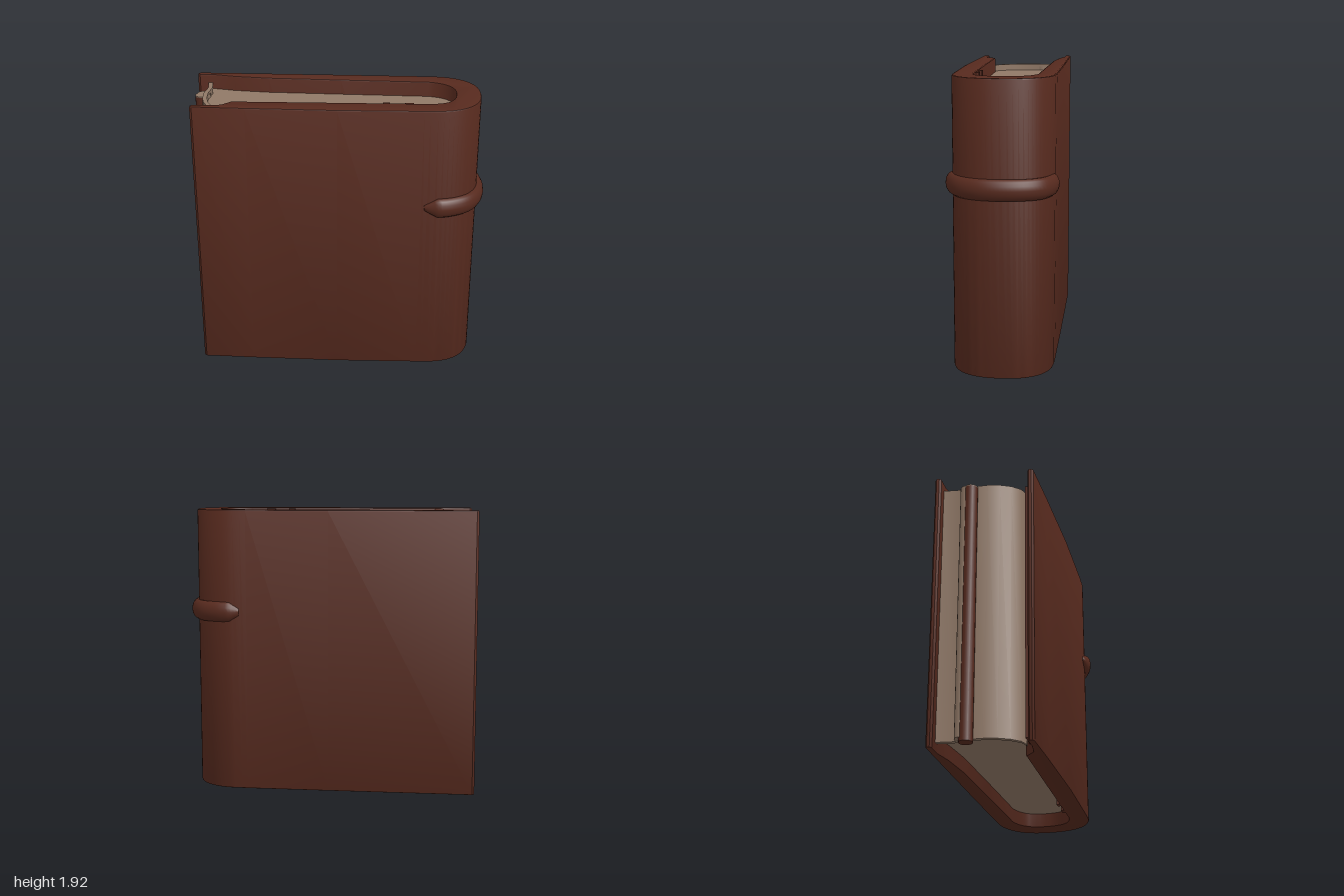
import * as THREE from 'three';
import { toCreasedNormals } from 'three/addons/utils/BufferGeometryUtils.js';

const leather = new THREE.MeshStandardMaterial({ color: 0x572a1e });
leather.name = 'brown leather';
const paper = new THREE.MeshStandardMaterial({ color: 0x907866 });
paper.name = 'aged paper';

// Points [x, z] on the inside of the spine curve, shared by cover and pages
function innerSpine() {
  const v = (x, z) => new THREE.Vector2(x, z);
  const a = new THREE.CubicBezierCurve(v(0.6, -0.22), v(0.71, -0.2), v(0.78, -0.14), v(0.78, -0.02));
  const b = new THREE.CubicBezierCurve(v(0.78, -0.02), v(0.78, 0.12), v(0.73, 0.18), v(0.6, 0.19));
  return [...a.getPoints(10), ...b.getPoints(10).slice(1)].map(p => [p.x, p.y]);
}

// Points [x, z] on the squarish outside of the spine, from back to front
function outerSpine(steps) {
  const soft = t => Math.sign(t) * Math.abs(t) ** 0.83;
  return Array.from({ length: steps + 1 }, (_, i) => {
    const a = -Math.PI / 2 + Math.PI * i / steps;
    return [0.6 + 0.345 * soft(Math.cos(a)), -0.007 + 0.333 * soft(Math.sin(a))];
  });
}

// Stands a plan outline of [x, z] points up between two heights
function upright(name, points, y0, y1, material, bevel = 0) {
  const shape = new THREE.Shape(points.map(([x, z]) => new THREE.Vector2(x, -z)));
  const geo = new THREE.ExtrudeGeometry(shape, {
    depth: y1 - y0 - 2 * bevel, bevelEnabled: bevel > 0, bevelSize: bevel,
    bevelThickness: bevel, bevelOffset: -bevel, bevelSegments: 2,
  });
  geo.rotateX(-Math.PI / 2).translate(0, y0 + bevel, 0);
  const mesh = new THREE.Mesh(toCreasedNormals(geo, 0.6), material);
  mesh.name = name;
  return mesh;
}

// Raised band round the spine: oval sections that shrink towards both ends
function spineBand() {
  const path = new THREE.CatmullRomCurve3([
    [0.58, 0.325], [0.65, 0.321], [0.73, 0.307], [0.85, 0.242], [0.92, 0.135], [0.945, 0],
    [0.923, -0.155], [0.86, -0.258], [0.75, -0.312], [0.66, -0.322], [0.61, -0.33],
  ].map(([x, z]) => new THREE.Vector3(x, 1.233, z)));
  const rings = 48, sides = 14, pos = [], index = [];
  for (let i = 0; i <= rings; i++) {
    const t = i / rings, p = path.getPointAt(t), d = path.getTangentAt(t);
    const grow = Math.min(1, 0.25 + t / 0.11, 0.4 + (1 - t) / 0.1);
    for (let j = 0; j < sides; j++) {
      const a = j / sides * Math.PI * 2;
      const out = Math.cos(a) * 0.05 * grow, up = Math.sin(a) * 0.07 * grow;
      pos.push(p.x - d.z * out, p.y + up, p.z + d.x * out);
      const k = i * sides + j, n = i * sides + (j + 1) % sides;
      if (i < rings) index.push(k, k + sides, n, n, k + sides, n + sides);
    }
  }
  // close both ends
  const last = rings * sides;
  for (let j = 1; j < sides - 1; j++) {
    index.push(0, j, j + 1, last, last + j + 1, last + j);
  }
  const geo = new THREE.BufferGeometry();
  geo.setAttribute('position', new THREE.Float32BufferAttribute(pos, 3));
  geo.setIndex(index);
  geo.computeVertexNormals();
  const band = new THREE.Mesh(geo, leather);
  band.name = 'spineBand';
  return band;
}

function place(name, geometry, material, x, y, z) {
  const mesh = new THREE.Mesh(geometry, material);
  mesh.name = name;
  mesh.position.set(x, y, z);
  return mesh;
}

export function createModel() {
  const book = new THREE.Group();
  book.name = 'book';

  // Wrapped cover: back board, rounded spine and front board in one piece
  book.add(upright('cover', [
    [-0.985, -0.347], [0, -0.345], [0.56, -0.341], ...outerSpine(32), [0.56, 0.328],
    [0, 0.338], [-0.6, 0.329], [-0.945, 0.32], [-0.96, 0.308],
    [-0.96, 0.29], [-0.945, 0.278], [-0.85, 0.278], [-0.76, 0.265], [-0.7, 0.205],
    ...innerSpine().reverse(),
    [0, -0.235], [-0.5, -0.25], [-0.74, -0.275], [-0.88, -0.305], [-0.985, -0.305],
    [-1, -0.317], [-1, -0.335],
  ], 0, 1.925, leather, 0.01));

  // Page block with a bowed fore edge, set well below the cover's rim
  const foreEdge = [
    [-0.76, 0.225], [-0.82, 0.205], [-0.87, 0.15],
    [-0.905, 0.08], [-0.925, 0], [-0.93, -0.1], [-0.915, -0.2], [-0.93, -0.312],
  ];
  book.add(upright('pages', [
    [-0.86, -0.308], [-0.74, -0.287], [-0.5, -0.262], [0, -0.247],
    ...innerSpine(), [-0.7, 0.215], ...foreEdge,
  ], 0.1, 1.82, paper));

  // Thin lip along the fore edge, standing proud of the pages at both ends
  const lipInside = foreEdge.map(([x, z]) => [x + 0.03, z - 0.005]).reverse();
  book.add(upright('foreEdgeLip', [...foreEdge, ...lipInside], 0.055, 1.865, paper));

  // Rolled strip on the fore edge: leather in front, paper behind and on top
  const roll = h => new THREE.CylinderGeometry(0.045, 0.045, h, 18);
  book.add(place('foreEdgeRoll', roll(1.81), leather, -0.945, 0.935, -0.108));
  book.add(place('foreEdgeRollTop', roll(0.008), paper, -0.945, 1.843, -0.108));
  book.add(place('foreEdgeRollBack', roll(1.79), paper, -0.935, 0.952, -0.138));

  // Turned-in strip inside the front board
  book.add(place('innerStrip', new THREE.BoxGeometry(0.22, 1.8, 0.04), leather, -0.735, 0.965, 0.257));

  // Small stitched tabs at the head and tail of the front board
  for (const y of [0.065, 1.86]) {
    for (const [x, w] of [[0.315, 0.045], [0.465, 0.06]]) {
      book.add(place('stitchTab', new THREE.BoxGeometry(w, 0.12, 0.07), leather, x, y, 0.207));
    }
  }

  book.add(spineBand());
  return book;
}
